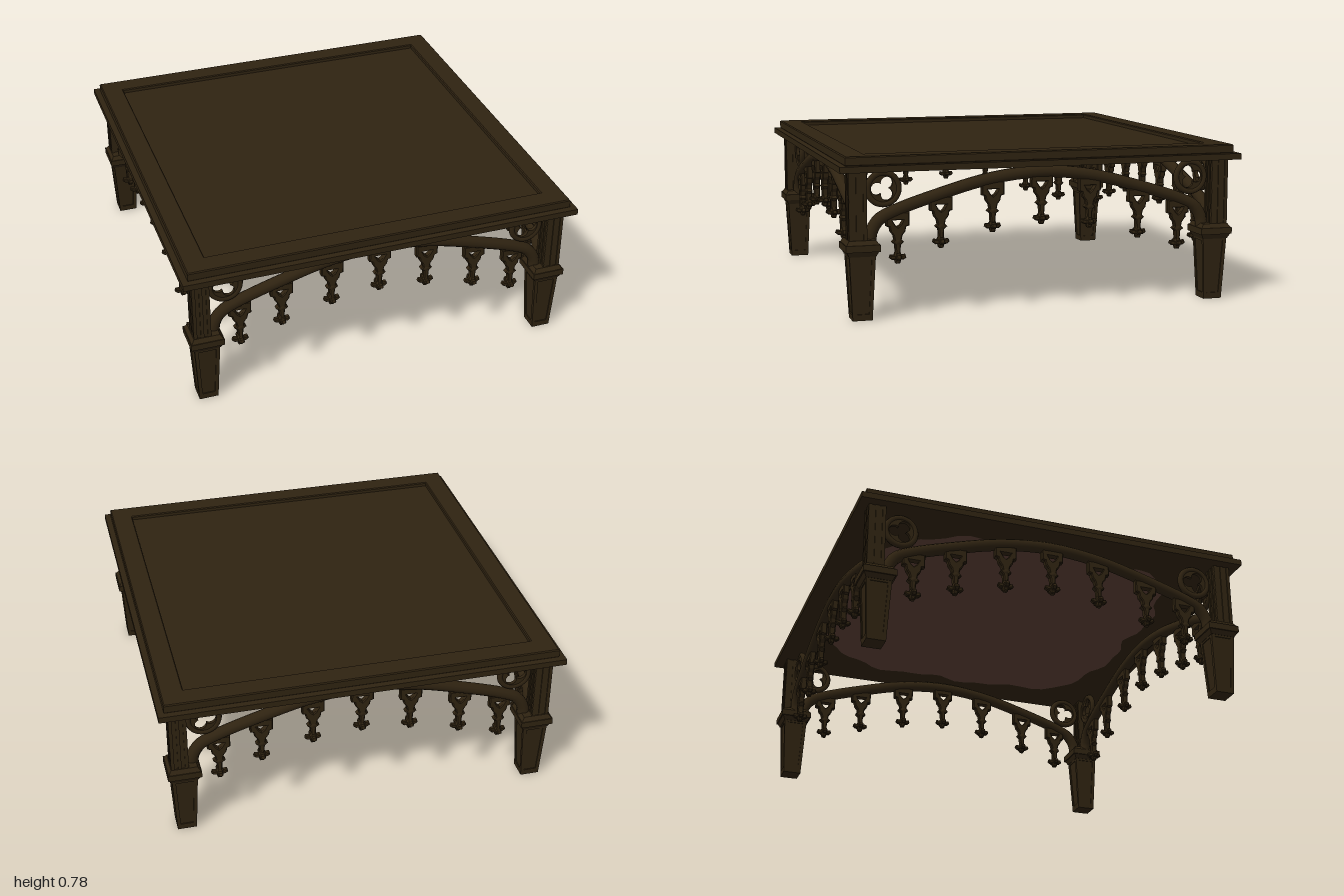
import * as THREE from 'three';

const wood = new THREE.MeshStandardMaterial({ color: 0x2f2311 });
wood.name = 'darkWood';
const lining = new THREE.MeshStandardMaterial({ color: 0x5c4036 });
lining.name = 'redBrownLining';

function add(parent, name, geo, x = 0, y = 0, z = 0, mat = wood) {
  const m = new THREE.Mesh(geo, mat);
  m.name = name;
  m.position.set(x, y, z);
  parent.add(m);
  return m;
}

const box = (w, h, d) => new THREE.BoxGeometry(w, h, d);

// square block whose half width changes from bottom to top
function taper(top, bottom, h) {
  const g = new THREE.CylinderGeometry(top * Math.SQRT2, bottom * Math.SQRT2, h, 4, 1)
    .rotateY(Math.PI / 4).toNonIndexed();
  g.computeVertexNormals();
  return g;
}

function extrude(shape, depth, bevel = 0) {
  return new THREE.ExtrudeGeometry(shape, {
    depth: depth - 2 * bevel, bevelEnabled: bevel > 0, bevelThickness: bevel,
    bevelSize: bevel, bevelOffset: -bevel, bevelSegments: 1, curveSegments: 8,
  }).translate(0, 0, -depth / 2 + bevel);
}

const polygon = (pts) => pts.map(([x, y]) => new THREE.Vector2(x, y));
const square = (h) => polygon([[-h, -h], [h, -h], [h, h], [-h, h]]);

// tabletop: lower ledge, raised rim and sunken panel
function makeTop() {
  const g = new THREE.Group();
  g.name = 'tableTop';
  add(g, 'ledge', box(2, 0.03, 2), 0, 0.717, 0);
  add(g, 'panel', box(1.8, 0.024, 1.8), 0, 0.742, 0);
  const rim = new THREE.Shape(square(0.97));
  rim.holes.push(new THREE.Path(square(0.86)));
  add(g, 'rim', extrude(rim, 0.045, 0.005).rotateX(-Math.PI / 2), 0, 0.7525, 0);
  // wavy lining on the underside
  const pts = [];
  for (let i = 0; i < 96; i++) {
    const a = i / 96 * Math.PI * 2;
    const c = Math.cos(a), s = Math.sin(a);
    const r = 0.81 / Math.pow(c ** 4 + s ** 4, 0.25) + 0.02 * Math.sin(a * 11) + 0.012 * Math.sin(a * 23);
    pts.push(new THREE.Vector2(r * c, r * s));
  }
  add(g, 'undersideLining', new THREE.ShapeGeometry(new THREE.Shape(pts)).rotateX(Math.PI / 2), 0, 0.699, 0, lining);
  return g;
}

// leg: panelled tapering foot, moulded collar and fluted post
function makeLeg() {
  const g = new THREE.Group();
  g.name = 'leg';
  add(g, 'footCore', taper(0.058, 0.042, 0.32), 0, 0.16, 0);
  add(g, 'footBase', taper(0.048, 0.047, 0.02), 0, 0.01, 0);
  const frame = new THREE.Shape(polygon([[-0.047, 0], [0.047, 0], [0.063, 0.32], [-0.063, 0.32]]));
  frame.holes.push(new THREE.Path(polygon([[-0.031, 0.03], [0.031, 0.03], [0.044, 0.295], [-0.044, 0.295]])));
  for (let i = 0; i < 4; i++) {
    const side = new THREE.Group();
    side.name = 'legFace';
    side.rotation.y = i * Math.PI / 2;
    g.add(side);
    add(side, 'footFrame', extrude(frame, 0.006), 0, 0, 0.044).rotation.x = 0.05;
    for (const x of [-0.034, 0, 0.034])
      add(side, 'postRib', box(0.016, 0.35, 0.01), x - 0.02 * Math.cos(i * Math.PI / 2), 0.53,
        0.04 + (i === 0 || i === 3 ? 0.02 : -0.02) * 1);
  }
  // ribs follow the post, which is set toward the outer corner
  g.children.filter((c) => c.name === 'legFace').forEach((side, i) => {
    const off = new THREE.Vector3(0.02, 0, 0.02).applyAxisAngle(new THREE.Vector3(0, 1, 0), -i * Math.PI / 2);
    side.children.filter((c) => c.name === 'postRib').forEach((rib, k) => {
      rib.position.set((k - 1) * 0.034 + off.x, 0.53, 0.038 + off.z);
    });
  });
  add(g, 'post', box(0.076, 0.36, 0.076), 0.02, 0.53, 0.02);
  add(g, 'collarLower', taper(0.076, 0.064, 0.024), 0, 0.317, 0);
  add(g, 'collarBand', box(0.164, 0.032, 0.164), 0, 0.345, 0);
  add(g, 'collarUpper', taper(0.064, 0.078, 0.02), 0, 0.371, 0);
  return g;
}

// shallow arch with a quick turn down into each collar
const archCurve = new THREE.CatmullRomCurve3([
  [-0.842, 0.36], [-0.835, 0.41], [-0.8, 0.466], [-0.73, 0.503], [-0.5, 0.578], [-0.25, 0.642], [0, 0.666],
  [0.25, 0.642], [0.5, 0.578], [0.73, 0.503], [0.8, 0.466], [0.835, 0.41], [0.842, 0.36],
].map(([x, y]) => new THREE.Vector3(x, y, 0)));

// ring around a pierced three-lobed plate
function makeRoundel(turn) {
  const g = new THREE.Group();
  g.name = 'roundel';
  add(g, 'ring', new THREE.TorusGeometry(0.074, 0.015, 8, 32));
  const plate = new THREE.Shape().absarc(0, 0, 0.07, 0, Math.PI * 2);
  const D = 0.031, R = 0.0285, third = Math.PI * 2 / 3, hole = [];
  for (let i = 0; i < 60; i++) {
    const a = i / 60 * Math.PI * 2;
    const d = (a + third / 2) % third - third / 2;
    const r = D * Math.cos(d) + Math.sqrt(R * R - (D * Math.sin(d)) ** 2);
    hole.push(new THREE.Vector2(r * Math.cos(a + turn), r * Math.sin(a + turn)));
  }
  plate.holes.push(new THREE.Path(hole));
  add(g, 'trefoilPlate', extrude(plate, 0.018));
  return g;
}

// hanging ornament: pierced bracket, waist, stem and three-lobed bud
const mirrored = (half) => polygon([...half, ...half.slice().reverse().map(([x, y]) => [-x, y])]);
const bracket = new THREE.Shape(mirrored([
  [0.056, 0.02], [0.056, -0.045], [0.04, -0.05], [0.036, -0.072], [0.022, -0.09],
  [0.018, -0.11], [0.03, -0.122], [0.014, -0.135], [0.011, -0.18],
]));
bracket.holes.push(new THREE.Path(polygon([[-0.026, -0.018], [-0.012, -0.04], [0, -0.05], [0.012, -0.04], [0.026, -0.018]])));
const bud = new THREE.Shape(mirrored([
  [0.011, -0.165], [0.018, -0.184], [0.036, -0.182], [0.041, -0.197], [0.028, -0.207], [0.016, -0.207], [0.01, -0.225],
]));
const bracketGeo = extrude(bracket, 0.034, 0.005);
const budGeo = extrude(bud, 0.026, 0.005);

function makePendant() {
  const g = new THREE.Group();
  g.name = 'pendant';
  add(g, 'bracket', bracketGeo);
  add(g, 'bud', budGeo);
  add(g, 'crossBud', budGeo).rotation.y = Math.PI / 2;
  add(g, 'knob', new THREE.SphereGeometry(0.021, 10, 8), 0, -0.122, 0);
  return g;
}

// one side of the apron
function makeApron(leftTurn, rightTurn) {
  const g = new THREE.Group();
  g.name = 'apron';
  add(g, 'arch', new THREE.TubeGeometry(archCurve, 72, 0.03, 10));
  [[-0.776, leftTurn], [0.776, rightTurn]].forEach(([x, turn]) => {
    const r = makeRoundel(turn);
    r.position.set(x, 0.613, 0);
    g.add(r);
  });
  const drops = [[0, 0.636], [0.245, 0.608], [0.5, 0.545], [0.71, 0.48]];
  for (const [x, y] of drops)
    for (const s of x ? [-1, 1] : [1]) {
      const p = makePendant();
      p.position.set(s * x, y, 0);
      g.add(p);
    }
  return g;
}

export function createModel() {
  const model = new THREE.Group();
  model.name = 'carvedTable';
  model.add(makeTop());
  const A = Math.PI, B = 0;
  [[A, B], [A, B], [B, B], [A, A]].forEach(([l, r], i) => {
    const turn = i * Math.PI / 2;
    const side = makeApron(l, r);
    side.rotation.y = turn;
    side.position.set(Math.sin(turn) * 0.89, 0, Math.cos(turn) * 0.89);
    model.add(side);
    const holder = new THREE.Group();
    holder.name = 'corner';
    holder.rotation.y = turn;
    const leg = makeLeg();
    leg.position.set(0.889, 0, 0.889);
    holder.add(leg);
    model.add(holder);
  });
  return model;
}
